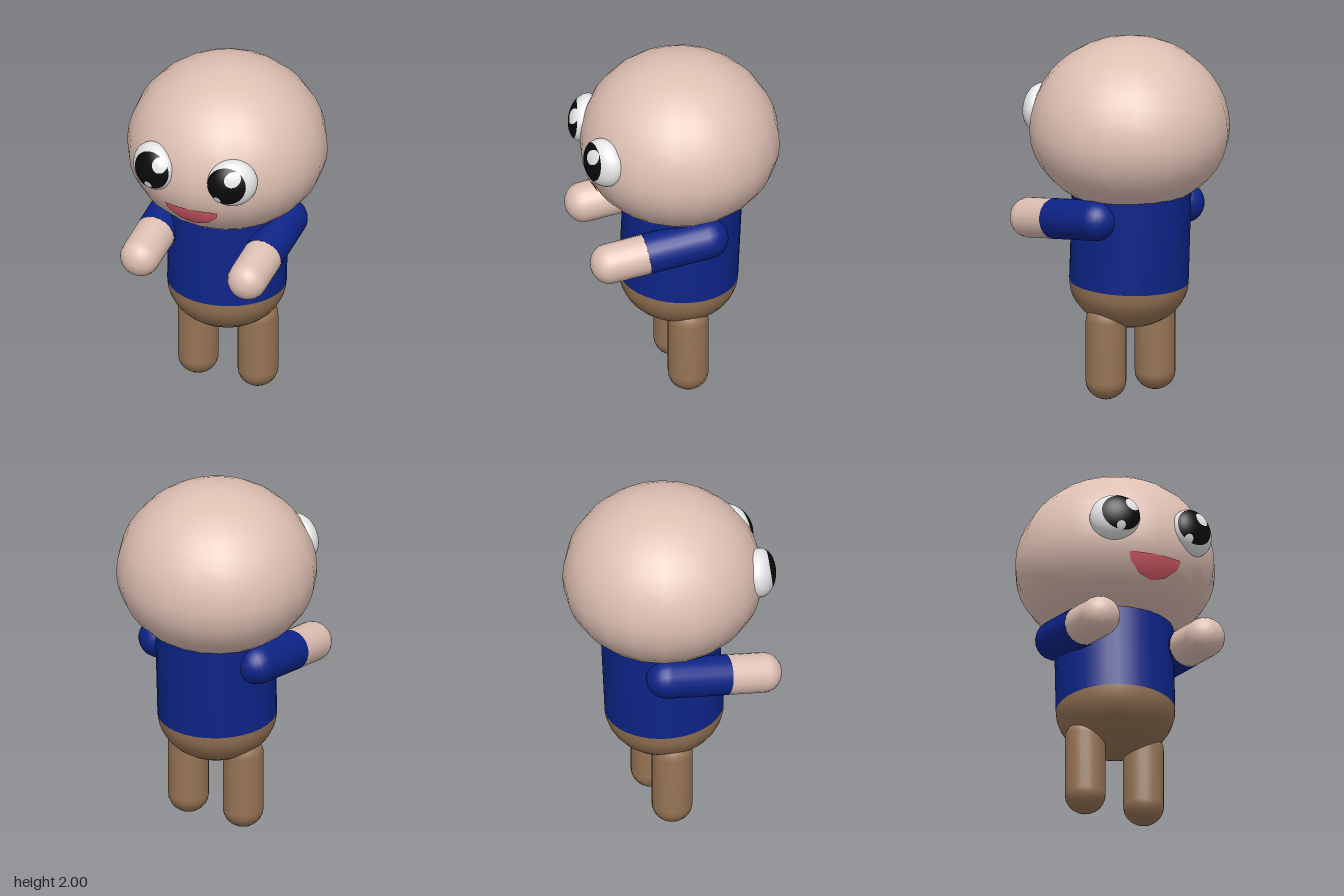
import * as THREE from 'three';

const material = (name, color) => {
  const m = new THREE.MeshStandardMaterial({ color });
  m.name = name;
  return m;
};

// Quarter-ellipse profile points from angle a to b (degrees), around height y0
function arc(r, h, y0, a, b, n = 8) {
  return Array.from({ length: n + 1 }, (_, i) => {
    const t = THREE.MathUtils.degToRad(a + ((b - a) * i) / n);
    return new THREE.Vector2(Math.max(0, r * Math.cos(t)), y0 + h * Math.sin(t));
  });
}

function turned(name, points, mat, sides = 20) {
  const mesh = new THREE.Mesh(new THREE.LatheGeometry(points, sides), mat);
  mesh.name = name;
  return mesh;
}

// Returns z of the front of a rotated ellipsoid above (x, y)
function ellipsoidFront(center, radii, rotation, grow) {
  const inverse = new THREE.Quaternion().setFromEuler(rotation).invert();
  const size = radii.clone().multiplyScalar(grow);
  return (x, y) => {
    const p = new THREE.Vector3(x - center.x, y - center.y, 0).applyQuaternion(inverse).divide(size);
    const d = new THREE.Vector3(0, 0, 1).applyQuaternion(inverse).divide(size);
    const a = d.dot(d), b = p.dot(d), c = p.dot(p) - 1;
    return center.z + (-b + Math.sqrt(Math.max(0, b * b - a * c))) / a;
  };
}

// Thin patch: concentric rings of an outline laid onto a curved surface
function patch(name, outline, cx, cy, zAt, mat, rings = 6) {
  const n = outline.length, pos = [cx, cy, zAt(cx, cy)], index = [];
  for (let r = 1; r <= rings; r++) {
    outline.forEach((p, i) => {
      const x = cx + ((p.x - cx) * r) / rings, y = cy + ((p.y - cy) * r) / rings;
      pos.push(x, y, zAt(x, y));
      const j = (i + 1) % n, o = 1 + (r - 1) * n, q = o - n;
      if (r === 1) index.push(0, o + i, o + j);
      else index.push(q + i, o + i, o + j, q + i, o + j, q + j);
    });
  }
  const geo = new THREE.BufferGeometry();
  geo.setAttribute('position', new THREE.Float32BufferAttribute(pos, 3));
  geo.setIndex(index);
  geo.computeVertexNormals();
  const mesh = new THREE.Mesh(geo, mat);
  mesh.name = name;
  return mesh;
}

function circle(cx, cy, r, n = 32) {
  return Array.from({ length: n }, (_, i) => {
    const t = (i / n) * Math.PI * 2;
    return new THREE.Vector2(cx + r * Math.cos(t), cy + r * Math.sin(t));
  });
}

export function createModel() {
  const model = new THREE.Group();
  model.name = 'figure';
  const skin = material('skin', 0xdfc0b3);
  const blue = material('shirtBlue', 0x0d2488);
  const brown = material('trouserBrown', 0x967455);
  const white = material('eyeWhite', 0xe8e8e8);
  const black = material('pupilBlack', 0x0a0a0a);
  const pink = material('mouthPink', 0xe2626f);

  // Head: egg-like, flatter below its widest line
  const head = turned('head', [
    ...arc(0.55, 0.44, 0, -90, 0, 10),
    ...arc(0.55, 0.51, 0, 0, 90, 10).slice(1),
  ], skin);
  head.position.set(0, 1.49, -0.012);
  model.add(head);

  // Open mouth with a straight upper edge
  const lip = new THREE.Shape();
  lip.moveTo(-0.158, 1.363);
  [[-0.142, 1.318], [-0.08, 1.262], [0, 1.237], [0.08, 1.262], [0.142, 1.318], [0.158, 1.363]]
    .forEach(([x, y]) => lip.lineTo(x, y));
  lip.closePath();
  const face = ellipsoidFront(new THREE.Vector3(0, 1.49, -0.012),
    new THREE.Vector3(0.55, 0.44, 0.55), new THREE.Euler(), 1.006);
  model.add(patch('mouth', lip.getSpacedPoints(48).slice(0, -1), 0, 1.32, face, pink));

  // Eyes: flattened balls with a forward-looking pupil and two glints
  const glints = {
    '-1': [[-0.165, 1.62, 0.042], [-0.233, 1.482, 0.024]],
    '1': [[0.262, 1.62, 0.042], [0.177, 1.482, 0.024]],
  };
  for (const side of [-1, 1]) {
    const label = side > 0 ? 'left' : 'right';
    const center = new THREE.Vector3(side * 0.233, 1.56, 0.465);
    const radii = new THREE.Vector3(0.138, 0.135, 0.088);
    const turn = new THREE.Euler(-0.1, side * 0.45, 0, 'YXZ');
    const eye = new THREE.Mesh(new THREE.SphereGeometry(1, 32, 20), white);
    eye.name = label + 'Eye';
    eye.scale.copy(radii);
    eye.rotation.copy(turn);
    eye.position.copy(center);
    model.add(eye);
    const px = side * 0.222, py = 1.567;
    model.add(patch(label + 'Pupil', circle(px, py, 0.107), px, py,
      ellipsoidFront(center, radii, turn, 1.015), black, 10));
    glints[side].forEach(([x, y, r], i) => model.add(patch(label + 'Glint' + (i + 1),
      circle(x, y, r, 20), x, y, ellipsoidFront(center, radii, turn, 1.035), white, 4)));
  }

  // Torso leans slightly back: shirt above, rounded trousers below
  const torso = new THREE.Group();
  torso.name = 'torso';
  torso.position.set(0, 0.638, -0.006);
  torso.rotation.x = -0.045;
  torso.add(turned('shirt', [new THREE.Vector2(0.327, 0), new THREE.Vector2(0.327, 0.56)], blue, 32));
  torso.add(turned('trouserSeat', arc(0.327, 0.255, 0, -90, 0, 10), brown, 32));
  model.add(torso);

  for (const side of [-1, 1]) {
    const label = side > 0 ? 'left' : 'right';
    // Legs
    const leg = turned(label + 'Leg', [
      ...arc(0.112, 0.105, 0.105, -90, 0, 6),
      ...arc(0.112, 0.105, 0.44, 0, 90, 6),
    ], brown);
    leg.position.set(side * 0.177, 0, -0.02);
    model.add(leg);

    // Arms reach forward and a little down
    const arm = new THREE.Group();
    arm.name = label + 'Arm';
    arm.position.set(side * 0.318, 1.04, -0.1);
    arm.rotation.x = Math.PI / 2 + 0.153;
    arm.add(turned('sleeve', [...arc(0.112, 0.112, 0, -90, 0, 6), new THREE.Vector2(0.112, 0.35)], blue));
    arm.add(turned('forearm', [new THREE.Vector2(0.111, 0.35), ...arc(0.111, 0.1, 0.565, 0, 90, 6)], skin));
    model.add(arm);
  }
  return model;
}
